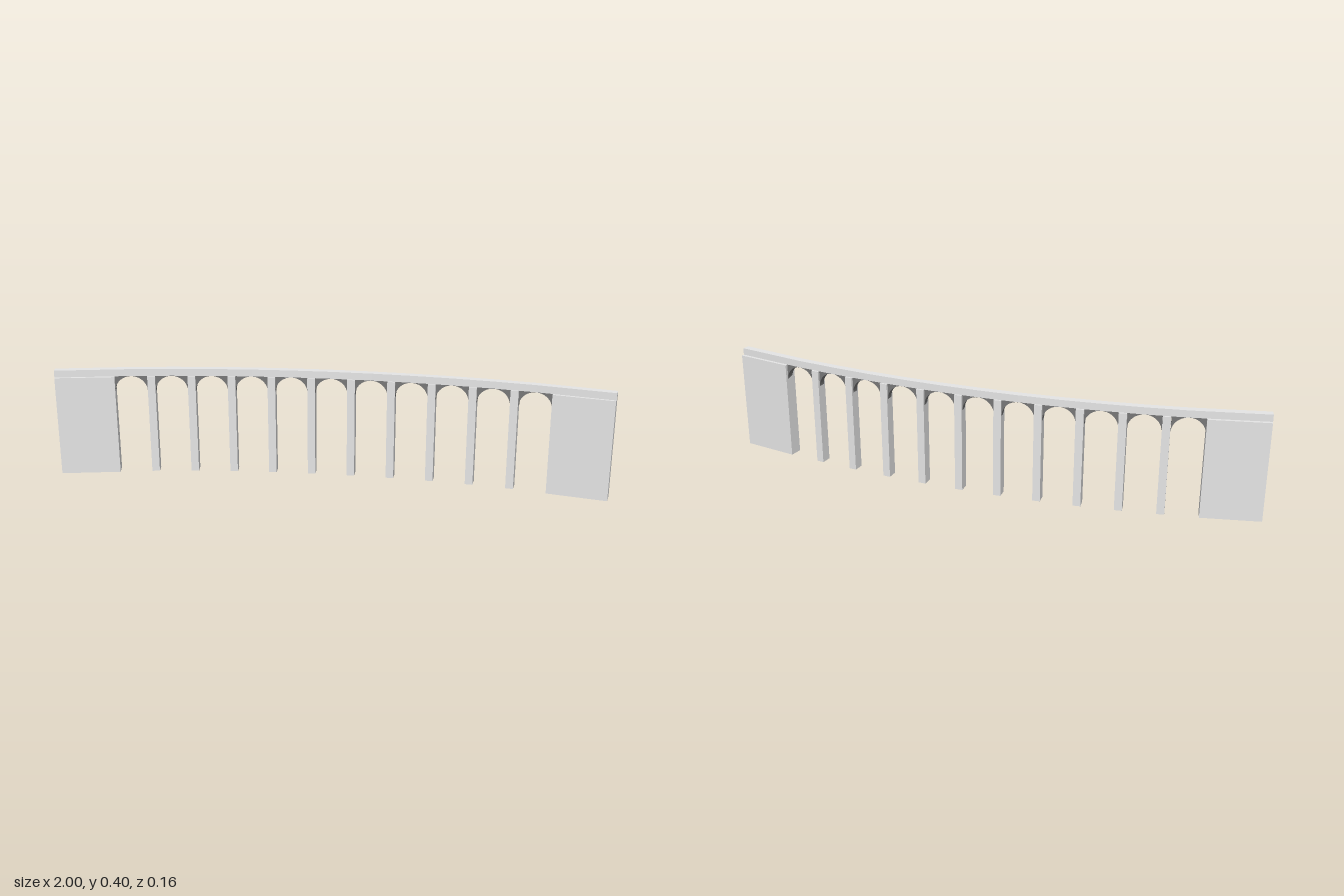
import * as THREE from 'three';

export function createModel() {
  const model = new THREE.Group();
  const stone = new THREE.MeshStandardMaterial({ color: 0xe5e5e5 });
  stone.name = 'paleStone';
  const darkStone = new THREE.MeshStandardMaterial({ color: 0x777777 });
  darkStone.name = 'darkStone';

  const TOP = 0.395, SPRING_TOP = 0.369;   // deck top and underside
  const BAY = 0.1455, PIER_W = 0.028, PIER_D = 0.04, DECK_W = 0.027, ARCH_D = 0.025;
  const bend = x => -0.0595 + 0.117 * x * x;          // plan curve of the centreline
  const yaw = x => -Math.atan(2 * 0.117 * x);

  function add(name, geometry, material, x, y, z, turn) {
    const mesh = new THREE.Mesh(geometry, material);
    mesh.name = name;
    mesh.position.set(x, y, z);
    mesh.rotation.y = turn;
    model.add(mesh);
  }

  // Piers
  for (let i = 0; i < 10; i++) {
    const x = (i - 4.5) * BAY;
    add('pier', new THREE.BoxGeometry(PIER_W, SPRING_TOP, PIER_D), stone, x, SPRING_TOP / 2, bend(x), yaw(x));
  }

  // Dark round arches filling the corners between piers
  const r = (BAY - PIER_W) / 2;
  const arch = new THREE.Shape();
  arch.moveTo(-r, -r);
  arch.lineTo(-r, 0);
  arch.lineTo(r, 0);
  arch.lineTo(r, -r);
  arch.absellipse(0, -r, r, r - 0.0008, 0, Math.PI, false, 0);
  const archGeometry = new THREE.ExtrudeGeometry(arch, { depth: ARCH_D, bevelEnabled: false, curveSegments: 20 });
  archGeometry.translate(0, 0, -ARCH_D / 2);
  for (let i = 0; i < 11; i++) {
    const x = (i - 5) * BAY;
    add('arch', archGeometry, darkStone, x, SPRING_TOP, bend(x) + 0.0005, yaw(x));
  }

  // Solid end abutments
  for (const s of [-1, 1]) {
    add('abutment', new THREE.BoxGeometry(0.2145, SPRING_TOP, 0.048), stone,
      s * 0.89, SPRING_TOP / 2, 0.0352, -s * Math.atan(0.2));
  }

  // Deck: plan outline offset to both sides of the centreline
  const line = [new THREE.Vector2(-0.996, 0.0578)];
  for (let i = -5; i <= 5; i++) line.push(new THREE.Vector2(i * BAY, bend(i * BAY)));
  line.push(new THREE.Vector2(0.996, 0.0578));
  const edge = side => line.map((p, i) => {
    const t = line[Math.min(i + 1, line.length - 1)].clone().sub(line[Math.max(i - 1, 0)]).normalize();
    return new THREE.Vector2(p.x - t.y * side, p.y + t.x * side);
  });
  const plan = new THREE.Shape([...edge(-DECK_W / 2), ...edge(DECK_W / 2).reverse()]);
  const deck = new THREE.ExtrudeGeometry(plan, { depth: TOP - SPRING_TOP, bevelEnabled: false });
  deck.rotateX(Math.PI / 2);
  add('deck', deck, stone, 0, TOP, 0, 0);

  return model;
}
